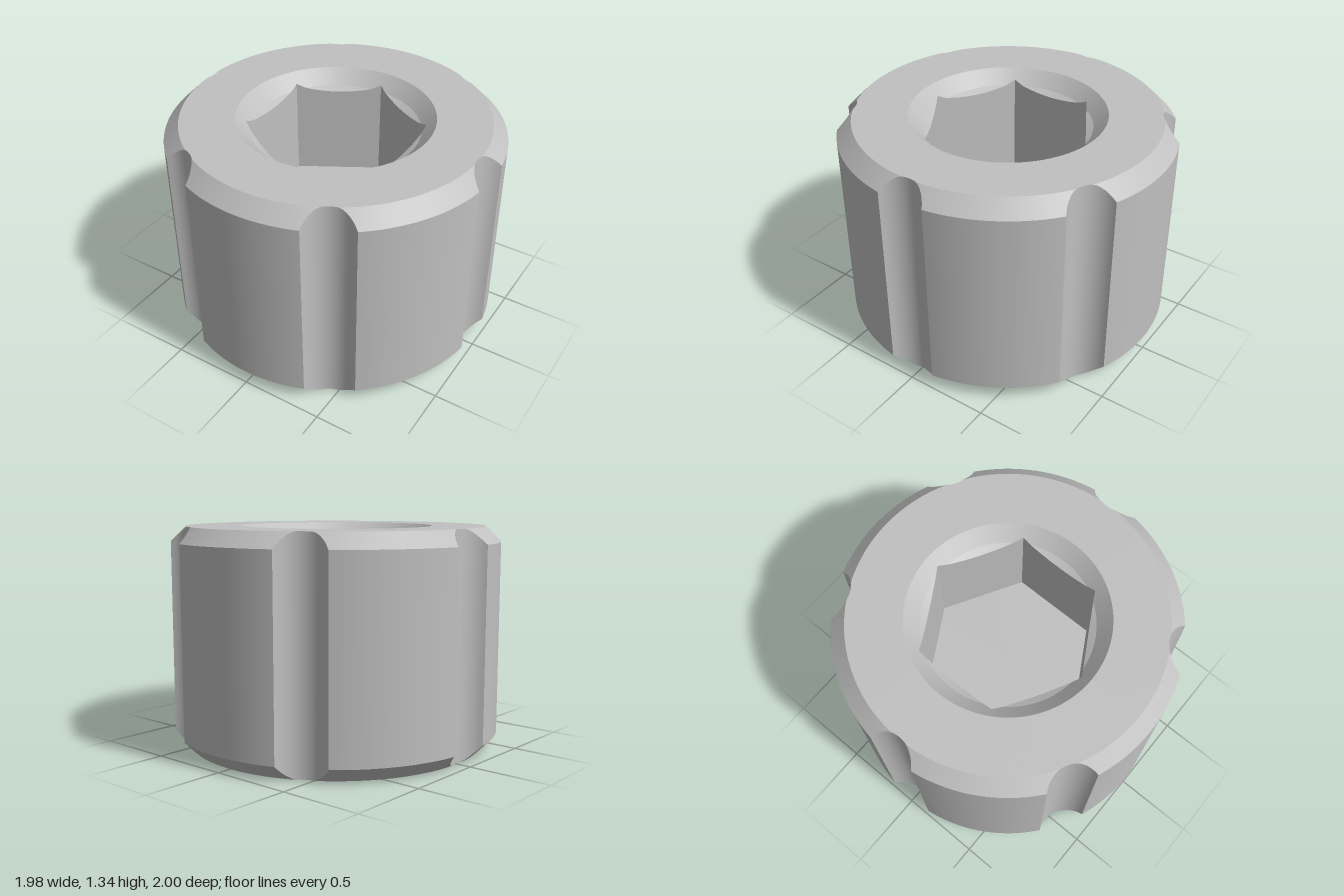
import * as THREE from 'three';
import { toCreasedNormals } from 'three/addons/utils/BufferGeometryUtils.js';

const H = 1.335, R = 1, RIM = 0.91;              // height, outer radius, radius of the end faces
const GROOVE_R = 0.166, GROOVE_C = 1.066;        // flute radius and its distance from the axis
const SINK = 0.585, BORE = 0.5, APOTHEM = 0.457; // countersink, its lower edge, hex half-width
const FLOOR = 0.66;                              // height of the socket floor

// Outline as [angle, radius]: six concave flutes separated by round lands
function outline() {
  const pts = [];
  const half = Math.acos((R * R + GROOVE_C ** 2 - GROOVE_R ** 2) / (2 * R * GROOVE_C));
  const arc = Math.atan2(Math.sin(half), GROOVE_C - Math.cos(half));
  const ARC = 16, LAND = 24;
  for (let k = 0; k < 6; k++) {
    const base = k * Math.PI / 3;
    for (let i = 0; i < ARC; i++) {
      const a = arc * (2 * i / ARC - 1);
      const x = GROOVE_C - GROOVE_R * Math.cos(a), y = GROOVE_R * Math.sin(a);
      pts.push([base + Math.atan2(y, x), Math.hypot(x, y)]);
    }
    for (let i = 0; i < LAND; i++) {
      pts.push([base + half + (Math.PI / 3 - 2 * half) * i / LAND, R]);
    }
  }
  return pts;
}

// Radius of the hexagon in a direction, corners on the z axis
function hexRadius(t) {
  const s = Math.PI / 3;
  return APOTHEM / Math.cos(t - Math.round(t / s) * s);
}

// Skin a closed loop of columns; each column is a list of [radius, height]
function skin(angles, columns) {
  const pos = [];
  const point = (i, j) => {
    const [r, y] = columns[i][j];
    return new THREE.Vector3(r * Math.cos(angles[i]), y, -r * Math.sin(angles[i]));
  };
  const tri = (a, b, c) => {
    if (new THREE.Triangle(a, b, c).getArea() < 1e-9) return;
    for (const p of [a, b, c]) pos.push(p.x, p.y, p.z);
  };
  for (let i = 0; i < columns.length; i++) {
    const n = (i + 1) % columns.length;
    for (let j = 0; j < columns[i].length - 1; j++) {
      const a = point(i, j), b = point(n, j), c = point(n, j + 1), d = point(i, j + 1);
      tri(a, b, c);
      tri(a, c, d);
    }
  }
  const geo = new THREE.BufferGeometry();
  geo.setAttribute('position', new THREE.Float32BufferAttribute(pos, 3));
  return toCreasedNormals(geo, 0.22);
}

export function createModel() {
  const group = new THREE.Group();
  group.name = 'flutedSocketKnob';
  const steel = new THREE.MeshStandardMaterial({ color: 0xc0c0c0 });
  steel.name = 'steel grey';

  const pts = outline();
  const angles = pts.map(p => p[0]);
  const add = (name, column) => {
    const mesh = new THREE.Mesh(skin(angles, pts.map(([t, r]) => column(t, r))), steel);
    mesh.name = name;
    group.add(mesh);
  };

  // Underside, chamfers, fluted wall and annular top
  add('flutedBody', (t, r) => {
    const rim = Math.min(r, RIM), cut = Math.max(0, r - RIM);
    return [[0, 0], [rim, 0], [r, cut], [r, H - cut], [rim, H], [SINK, H]];
  });

  // Countersink and the shallow cone that the hexagon cuts through
  const coneY = r => H - (SINK - BORE) + (r > BORE ? r - BORE : (r - BORE) * 0.5);
  add('countersink', t => {
    const hex = hexRadius(t), mid = Math.max(hex, BORE);
    return [[SINK, H], [mid, coneY(mid)], [hex, coneY(hex)]];
  });

  // Hexagonal blind socket with a flat floor
  add('hexSocket', t => {
    const hex = hexRadius(t);
    return [[hex, coneY(hex)], [hex, FLOOR], [0, FLOOR]];
  });

  return group;
}
